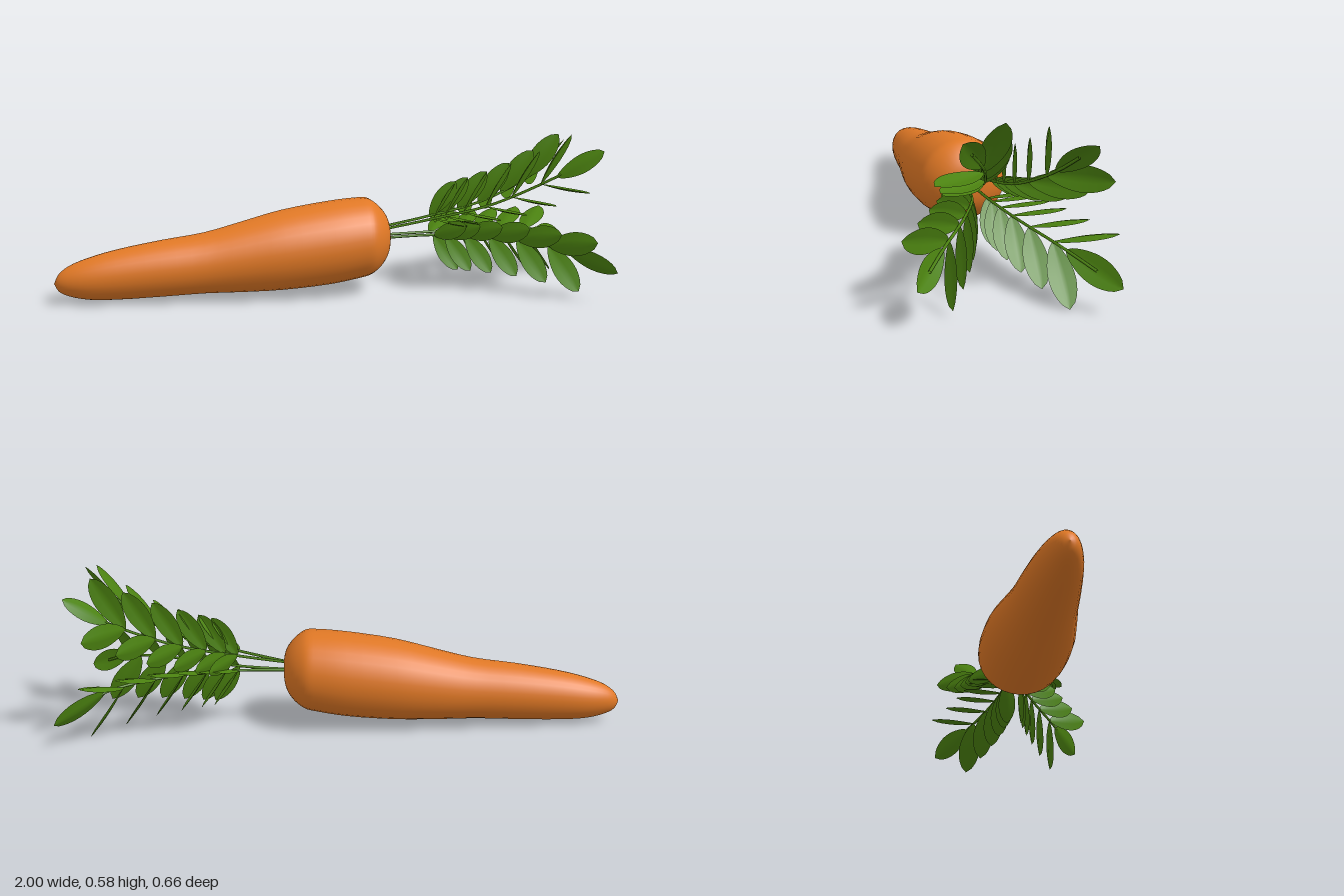
import * as THREE from 'three';

const orange = new THREE.MeshStandardMaterial({ color: 0xe07825 });
orange.name = 'carrot orange';
const green = new THREE.MeshStandardMaterial({ color: 0x4b8210, side: THREE.DoubleSide });
green.name = 'leaf green';

// Root cross-sections: x, centre height, radius
const SECTIONS = [
  [-1, 0.072, 0], [-0.985, 0.074, 0.03], [-0.95, 0.079, 0.054], [-0.88, 0.085, 0.076], [-0.78, 0.096, 0.091],
  [-0.62, 0.112, 0.103], [-0.46, 0.126, 0.111], [-0.32, 0.143, 0.129], [-0.18, 0.162, 0.146],
  [0, 0.183, 0.153], [0.1, 0.196, 0.149], [0.14, 0.2, 0.144], [0.165, 0.2, 0.13],
  [0.19, 0.2, 0.107], [0.21, 0.201, 0.078], [0.22, 0.202, 0.045], [0.223, 0.203, 0],
];

function makeRoot() {
  const curve = new THREE.CatmullRomCurve3(SECTIONS.map((s) => new THREE.Vector3(...s)), false, 'centripetal');
  const rings = curve.getPoints(48);
  const geo = new THREE.LatheGeometry(rings.map((p) => new THREE.Vector2(Math.max(p.z, 0), p.x)), 32);
  geo.rotateZ(-Math.PI / 2);
  // Bend the axis upward, narrow the tip sideways and widen the shoulder
  const pos = geo.attributes.position;
  for (let i = 0; i < pos.count; i++) {
    const ring = rings[i % rings.length];
    const widen = Math.min(1.06, 0.72 + (ring.x + 1) * 0.6);
    pos.setY(i, pos.getY(i) + ring.y);
    pos.setZ(i, pos.getZ(i) * widen - 0.034);
  }
  const mesh = new THREE.Mesh(geo, orange);
  mesh.name = 'root';
  return mesh;
}

// One leaf of unit length along y, folded gently along its midrib
function makeLeafGeometry() {
  const geo = new THREE.PlaneGeometry(1, 1, 6, 12);
  const pos = geo.attributes.position;
  for (let i = 0; i < pos.count; i++) {
    const v = pos.getY(i) + 0.5;
    const half = 0.2 * Math.pow(Math.max(Math.sin(Math.PI * Math.pow(v, 1.15)), 0), 0.6);
    const x = pos.getX(i) * 2 * half;
    pos.setXYZ(i, x, v, 0.2 * Math.abs(x) - 0.03 * Math.sin(Math.PI * v));
  }
  geo.computeVertexNormals();
  return geo;
}

const leafGeo = makeLeafGeometry();
const X = new THREE.Vector3(1, 0, 0);

// Place a leaf from a base point; at roll 0 the blade faces +x, at 90 degrees it is edge-on
function makeLeaf(base, dir, length, roll, name) {
  const angle = THREE.MathUtils.degToRad(roll);
  const axis = dir.clone().normalize();
  const across = new THREE.Vector3().crossVectors(axis, X).normalize();
  const along = new THREE.Vector3().crossVectors(across, axis).normalize();
  const side = across.multiplyScalar(Math.cos(angle)).addScaledVector(along, -Math.sin(angle));
  const normal = new THREE.Vector3().crossVectors(side, axis);
  const leaf = new THREE.Mesh(leafGeo, green);
  leaf.name = name;
  leaf.quaternion.setFromRotationMatrix(new THREE.Matrix4().makeBasis(side, axis, normal));
  leaf.position.copy(base);
  leaf.scale.setScalar(length);
  return leaf;
}

// Fronds: stem points, leaf tip, and outward angle in degrees from up towards +z
const FRONDS = [
  { name: 'upperFrontFrond', angle: 26, tip: [0.96, 0.535, 0.18],
    stem: [[0.2, 0.225, -0.03], [0.38, 0.262, -0.01], [0.6, 0.315, 0.018], [0.82, 0.425, 0.082]] },
  { name: 'upperBackFrond', angle: -54, tip: [0.96, 0.507, -0.222],
    stem: [[0.2, 0.23, -0.05], [0.38, 0.26, -0.065], [0.6, 0.307, -0.088], [0.82, 0.4, -0.14]] },
  { name: 'lowerFrontFrond', angle: 110, tip: [0.98, 0.12, 0.315],
    stem: [[0.2, 0.195, -0.02], [0.38, 0.203, -0.002], [0.6, 0.21, 0.078], [0.82, 0.187, 0.2]] },
  { name: 'lowerBackFrond', angle: -138, tip: [1, 0.083, -0.295],
    stem: [[0.2, 0.2, -0.045], [0.38, 0.202, -0.052], [0.6, 0.195, -0.085], [0.84, 0.162, -0.17]] },
];

function makeFrond({ name, angle, tip, stem }) {
  const frond = new THREE.Group();
  frond.name = name;
  const points = stem.map((p) => new THREE.Vector3(...p));
  const curve = new THREE.CatmullRomCurve3(points);
  const end = points[points.length - 1];
  const tipPoint = new THREE.Vector3(...tip);

  // The stem runs on as the midrib of the end leaf
  const stalkPath = new THREE.CatmullRomCurve3([...points, end.clone().lerp(tipPoint, 0.55)]);
  const stalk = new THREE.Mesh(new THREE.TubeGeometry(stalkPath, 20, 0.005, 6), green);
  stalk.name = 'stem';
  frond.add(stalk);

  // Six leaf pairs, spaced wider towards the end: one broad to +x, the other nearly edge-on
  const pairs = 6;
  for (let i = 0; i < pairs; i++) {
    const t = Math.pow(i / (pairs - 1), 1.35);
    const base = curve.getPoint(0.34 + 0.58 * t);
    const length = 0.165 + 0.05 * t;
    for (const [offset, roll] of [[-46 + 10 * t, 0], [64, 79]]) {
      const a = THREE.MathUtils.degToRad(angle + offset);
      const dir = new THREE.Vector3(0.68, Math.cos(a), Math.sin(a));
      frond.add(makeLeaf(base, dir, length, roll, 'sideLeaf'));
    }
  }

  // Leaf at the end of the stem
  const dir = tipPoint.sub(end);
  frond.add(makeLeaf(end, dir, dir.length(), 0, 'endLeaf'));
  return frond;
}

export function createModel() {
  const model = new THREE.Group();
  model.name = 'carrot';
  model.add(makeRoot());
  for (const f of FRONDS) model.add(makeFrond(f));
  return model;
}
